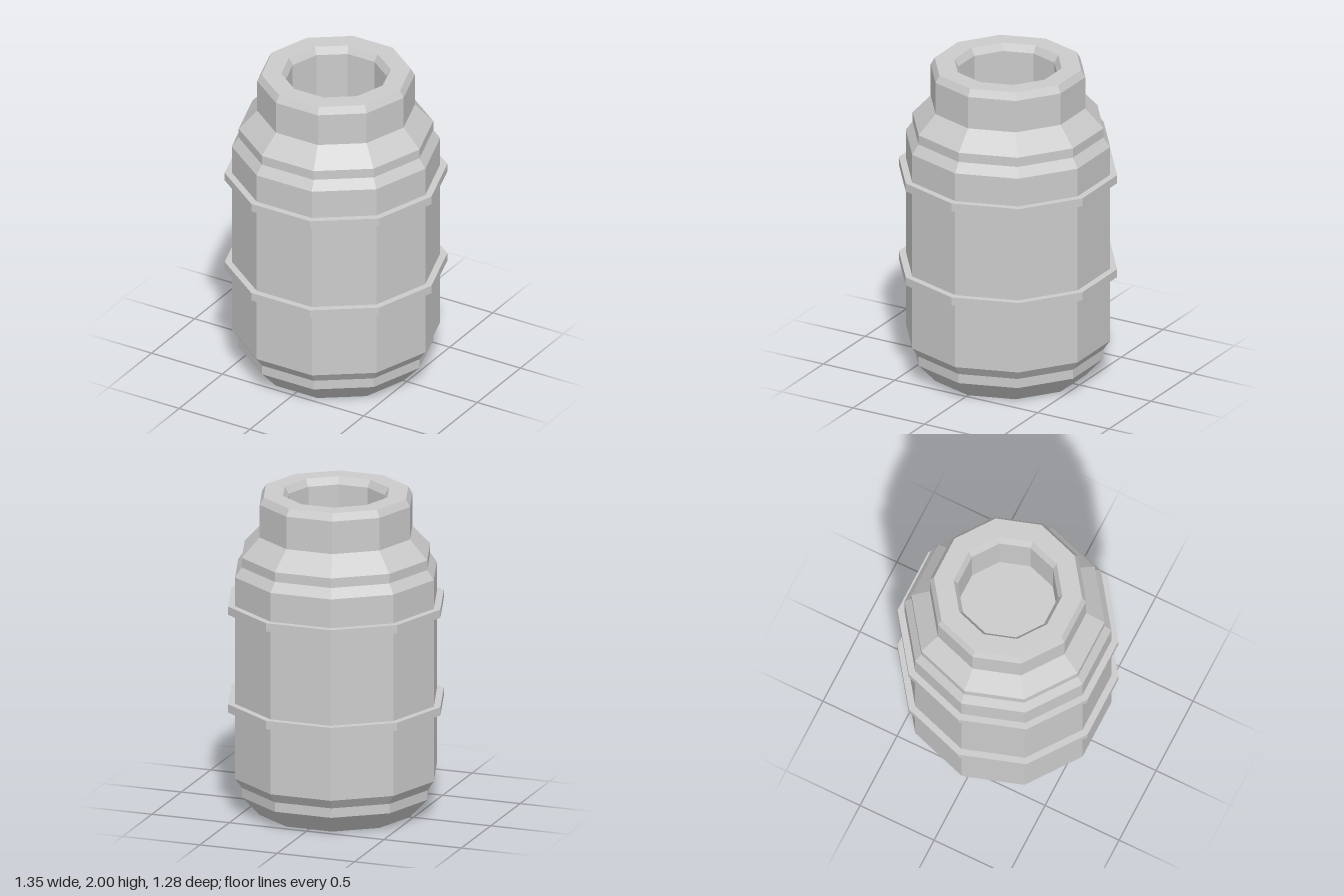
import * as THREE from 'three';

const SIDES = 10;

export function createModel() {
  const model = new THREE.Group();
  const material = new THREE.MeshStandardMaterial({ color: 0xcccccc, flatShading: true });

  // Ten-sided turned part, profile given as [radius, height], corners on the x axis
  function turned(name, profile) {
    const points = profile.map(([r, y]) => new THREE.Vector2(r, y));
    const mesh = new THREE.Mesh(
      new THREE.LatheGeometry(points, SIDES, Math.PI / 2, Math.PI * 2), material);
    mesh.name = name;
    model.add(mesh);
  }

  // Body: base, stepped lower edge, wall, stepped shoulder, neck, recessed mouth
  turned('barrelBody', [
    [0, 0], [0.478, 0], [0.59, 0.12], [0.59, 0.18], [0.632, 0.24],
    [0.632, 1.51], [0.59, 1.57], [0.59, 1.63], [0.478, 1.75],
    [0.478, 1.955], [0.453, 2], [0.332, 2], [0.306, 1.955],
    [0.306, 1.63], [0, 1.63],
  ]);

  // Two raised hoops around the wall
  [['lowerHoop', 0.687], ['upperHoop', 1.303]].forEach(([name, y]) => {
    const h = 0.026;
    turned(name, [[0.61, y - h], [0.675, y - h], [0.675, y + h], [0.61, y + h]]);
  });

  return model;
}
